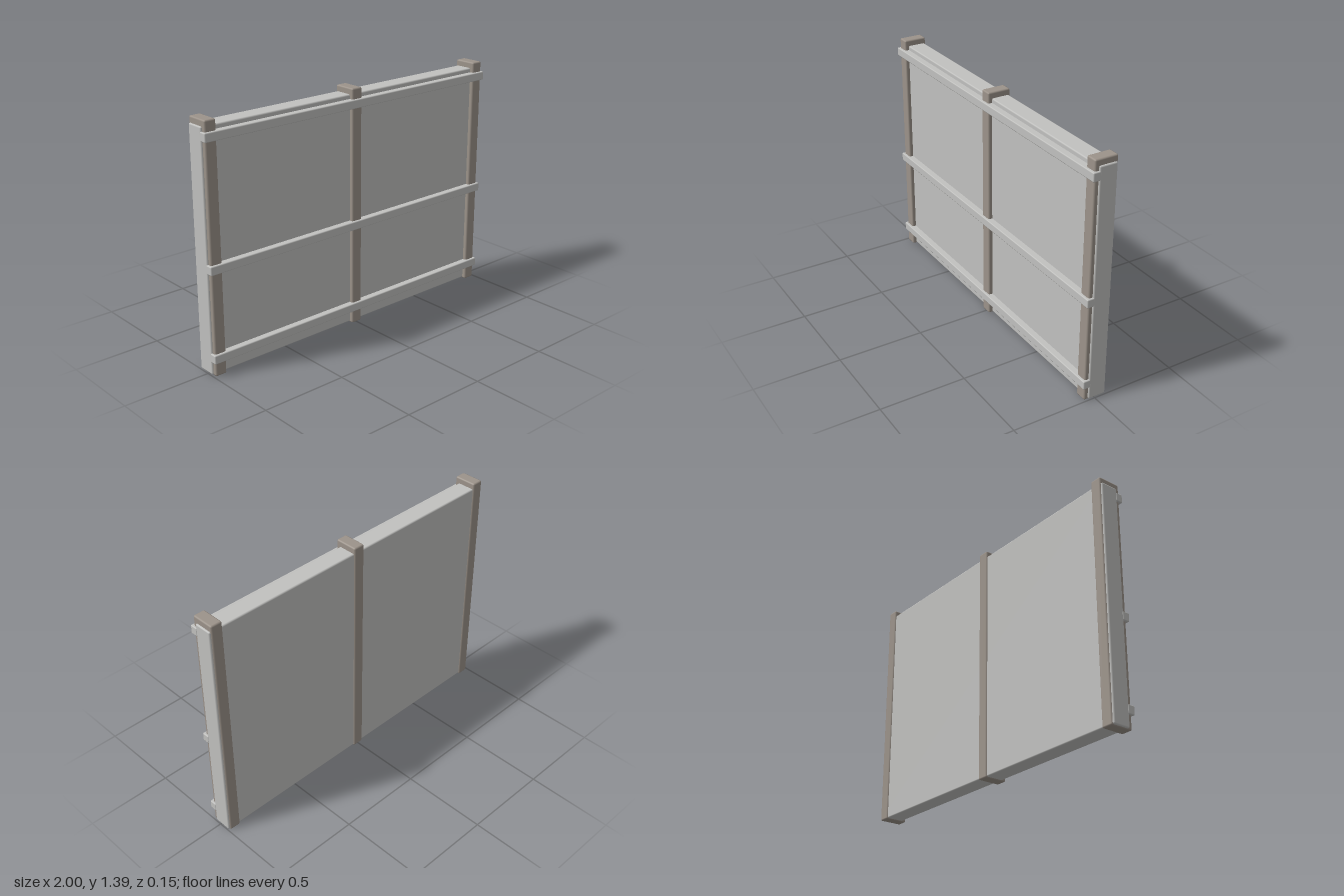
import * as THREE from 'three';
import { RoundedBoxGeometry } from 'three/addons/geometries/RoundedBoxGeometry.js';

const concrete = new THREE.MeshStandardMaterial({ name: 'pale grey', color: 0xc1c1bf });
const stone = new THREE.MeshStandardMaterial({ name: 'warm grey', color: 0x9c938a });

// Box with softened edges, given by its extents on each axis
function block(name, material, [x0, x1], [y0, y1], [z0, z1], bevel) {
  const geometry = new RoundedBoxGeometry(x1 - x0, y1 - y0, z1 - z0, 1, bevel);
  const mesh = new THREE.Mesh(geometry, material);
  mesh.name = name;
  mesh.position.set((x0 + x1) / 2, (y0 + y1) / 2, (z0 + z1) / 2);
  return mesh;
}

export function createModel() {
  const group = new THREE.Group();
  group.name = 'wallSection';

  // Main wall slab
  group.add(block('wallPanel', concrete, [-0.998, 0.998], [0.005, 1.355], [-0.067, 0.038], 0.008));

  // Upright posts standing proud of both faces and the top
  const postNames = ['rightPost', 'middlePost', 'leftPost'];
  [-0.955, 0, 0.955].forEach((x, i) => {
    group.add(block(postNames[i], stone, [x - 0.034, x + 0.034], [0, 1.39], [-0.074, 0.061], 0.009));
  });

  // Horizontal rails across the front
  const railNames = ['lowerRail', 'middleRail', 'upperRail'];
  [0.104, 0.605, 1.305].forEach((y, i) => {
    group.add(block(railNames[i], concrete, [-1, 1], [y - 0.025, y + 0.025], [0.03, 0.075], 0.006));
  });

  return group;
}
